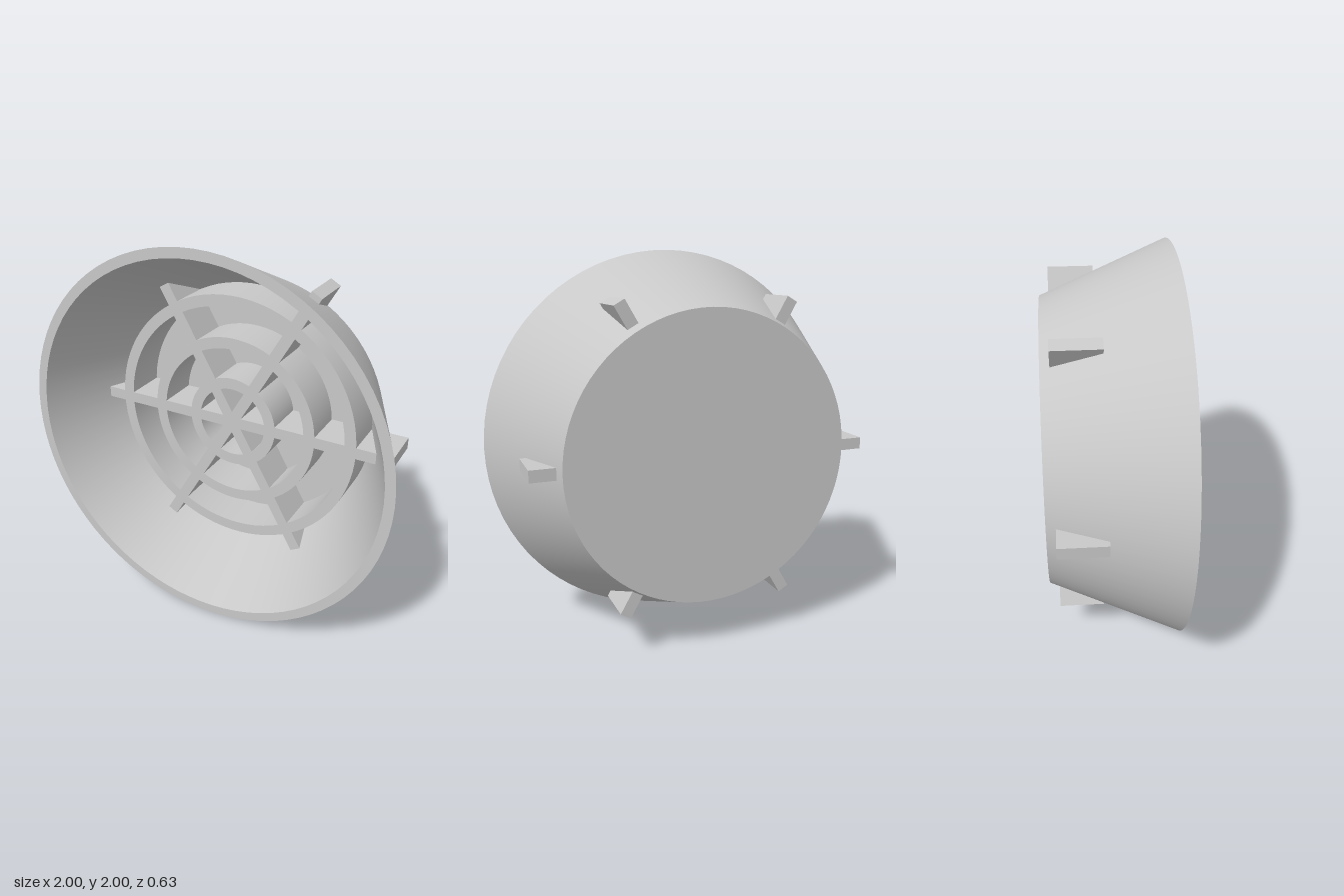
import * as THREE from 'three';
import { toCreasedNormals } from 'three/addons/utils/BufferGeometryUtils.js';

const FLOOR = -0.27;  // inner floor of the bowl
const GRATE = -0.04;  // front face of rings and bars

// Revolves a (radius, z) profile around the z axis
function revolve(profile, segments = 80) {
  const points = profile.map(([r, z]) => new THREE.Vector2(r, z));
  const geometry = new THREE.LatheGeometry(points, segments);
  geometry.rotateX(Math.PI / 2);
  return toCreasedNormals(geometry, 0.35);
}

export function createModel() {
  const model = new THREE.Group();
  model.name = 'grateBowl';
  const grey = new THREE.MeshStandardMaterial({ color: 0xc8c8c8 });
  grey.name = 'light grey';

  const add = (name, geometry) => {
    const mesh = new THREE.Mesh(geometry, grey);
    mesh.name = name;
    mesh.position.y = 1;
    model.add(mesh);
    return mesh;
  };

  // Flared bowl with a closed back and a thin wall
  add('bowl', revolve([
    [0, -0.315], [0.735, -0.315], [1, 0.315],
    [0.95, 0.315], [0.69, FLOOR], [0, FLOOR],
  ]));

  // Concentric rings standing on the floor
  for (const inner of [0.19, 0.41, 0.63]) {
    const outer = inner + 0.06;
    add('ring', revolve([
      [inner, FLOOR], [outer, FLOOR], [outer, GRATE], [inner, GRATE], [inner, FLOOR],
    ]));
  }

  // Three bars crossing at the centre and poking through the wall
  for (let i = 0; i < 3; i++) {
    const bar = add('crossBar', new THREE.BoxGeometry(1.76, 0.06, GRATE - FLOOR));
    bar.position.z = (FLOOR + GRATE) / 2;
    bar.rotation.z = i * Math.PI / 3;
  }

  return model;
}
